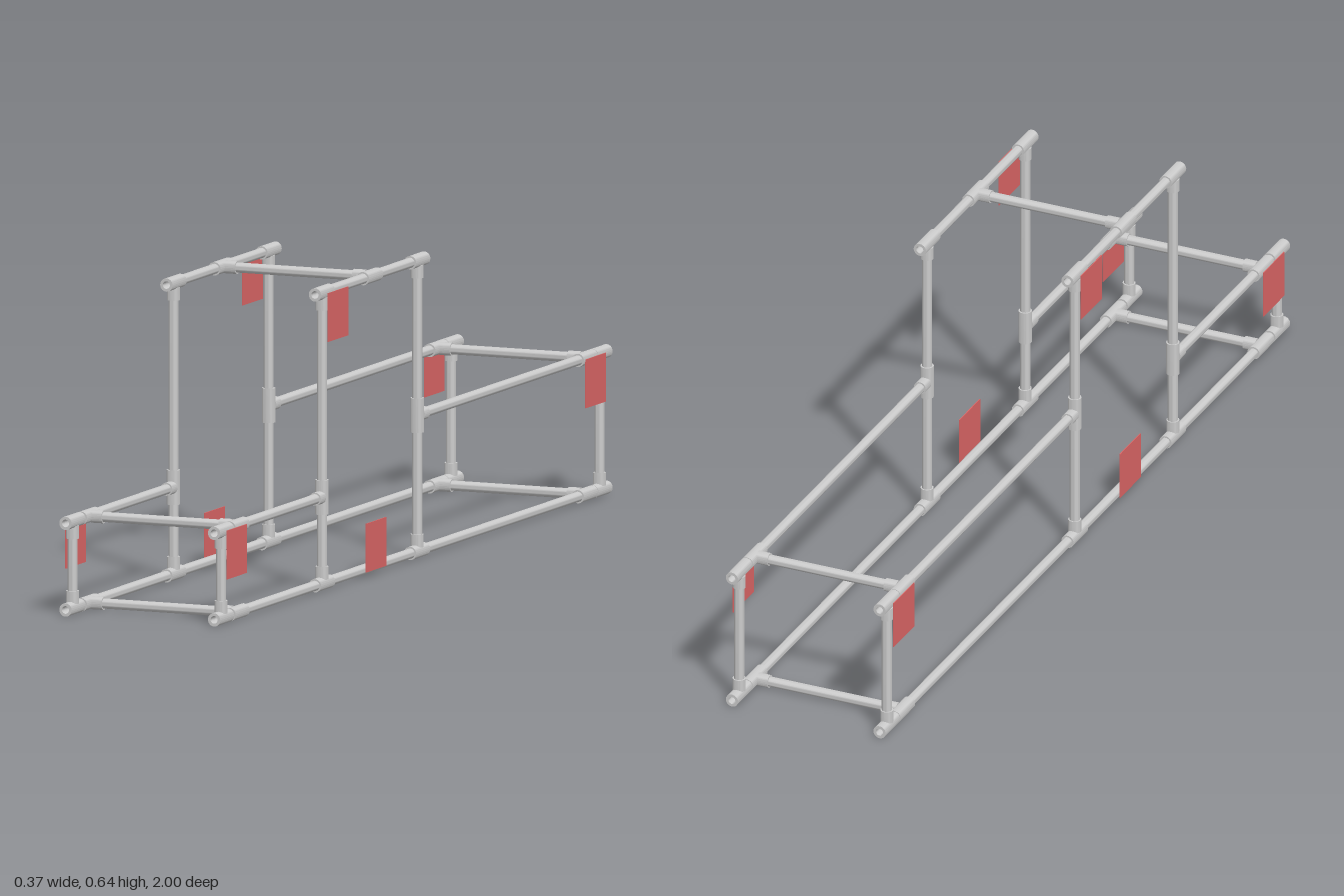
import * as THREE from 'three';
import { toCreasedNormals } from 'three/addons/utils/BufferGeometryUtils.js';

const X = 0.168;                          // half spacing of the two side frames
const PIPE = 0.0106, FIT = 0.014, BORE = 0.008;
const LOW = 0.014, FRONT = 0.195, REAR = 0.299, TOP = 0.622;  // rail heights
const ARM = 0.036;                        // half run and branch length of a tee

const grey = new THREE.MeshStandardMaterial({ color: 0xcccccc });
const red = new THREE.MeshStandardMaterial({ color: 0xdd6666 });

// Hollow tube between two points
function tube(name, from, to, outer, inner = BORE) {
  const a = new THREE.Vector3(...from), d = new THREE.Vector3(...to).sub(a);
  const L = d.length();
  const profile = [[inner, 0], [outer, 0], [outer, L], [inner, L], [inner, 0]]
    .map(([r, y]) => new THREE.Vector2(r, y));
  const geo = toCreasedNormals(new THREE.LatheGeometry(profile, 24), 0.6);
  const mesh = new THREE.Mesh(geo, grey);
  mesh.name = name;
  mesh.position.copy(a);
  mesh.quaternion.setFromUnitVectors(new THREE.Vector3(0, 1, 0), d.normalize());
  return mesh;
}

// Tee fitting: a run along one axis and a branch along another
function tee(center, run, branch) {
  const g = new THREE.Group();
  g.name = 'teeFitting';
  const at = (dir, k) => center.map((c, i) => c + dir[i] * k);
  g.add(tube('teeRun', at(run, -ARM), at(run, ARM), FIT, PIPE - 0.0006));
  g.add(tube('teeBranch', at(branch, 0.009), at(branch, ARM), FIT - 0.0004, PIPE - 0.0006));
  return g;
}

export function createModel() {
  const model = new THREE.Group();
  model.name = 'pipeFrame';
  const up = [0, 1, 0], down = [0, -1, 0], fwd = [0, 0, 1], back = [0, 0, -1];

  // Rails: height, rear z, front z
  const rails = [[LOW, -1, 1], [FRONT, 0.459, 1], [REAR, -1, -0.044], [TOP, -0.071, 0.486]];
  // Uprights: z, top height
  const uprights = [[0.964, FRONT], [0.45, TOP], [-0.035, TOP], [-0.964, REAR]];
  // Crossbars: height, z
  const crossbars = [[LOW, 0.885], [FRONT, 0.885], [TOP, 0.205], [REAR, -0.89], [LOW, -0.89]];

  for (const s of [1, -1]) {
    const side = new THREE.Group();
    side.name = s > 0 ? 'leftFrame' : 'rightFrame';
    const x = s * X;
    for (const [y, z0, z1] of rails) side.add(tube('rail', [x, y, z0], [x, y, z1], PIPE));
    for (const [z, y] of uprights) {
      side.add(tube('upright', [x, LOW + 0.009, z], [x, y - 0.009, z], PIPE));
      side.add(tee([x, LOW, z], fwd, up), tee([x, y, z], fwd, down));
    }
    // Tees where the lower rails meet the tall uprights
    side.add(tee([x, FRONT, 0.45], up, fwd), tee([x, REAR, -0.035], up, back));
    for (const [y, z] of crossbars) side.add(tee([x, y, z], fwd, [-s, 0, 0]));

    // Flag panels: centre height and z; the top one sits at opposite ends per side
    const panels = [[0.146, 0.917], [0.062, 0.207], [0.25, -0.912], [0.571, s > 0 ? 0.402 : 0.015]];
    for (const [y, z] of panels) {
      const panel = new THREE.Mesh(new THREE.BoxGeometry(0.002, 0.102, 0.102), red);
      panel.name = 'flagPanel';
      panel.position.set(s * 0.1825, y, z);
      side.add(panel);
    }
    model.add(side);
  }

  for (const [y, z] of crossbars) {
    model.add(tube('crossbar', [-X + 0.009, y, z], [X - 0.009, y, z], PIPE));
  }
  return model;
}
